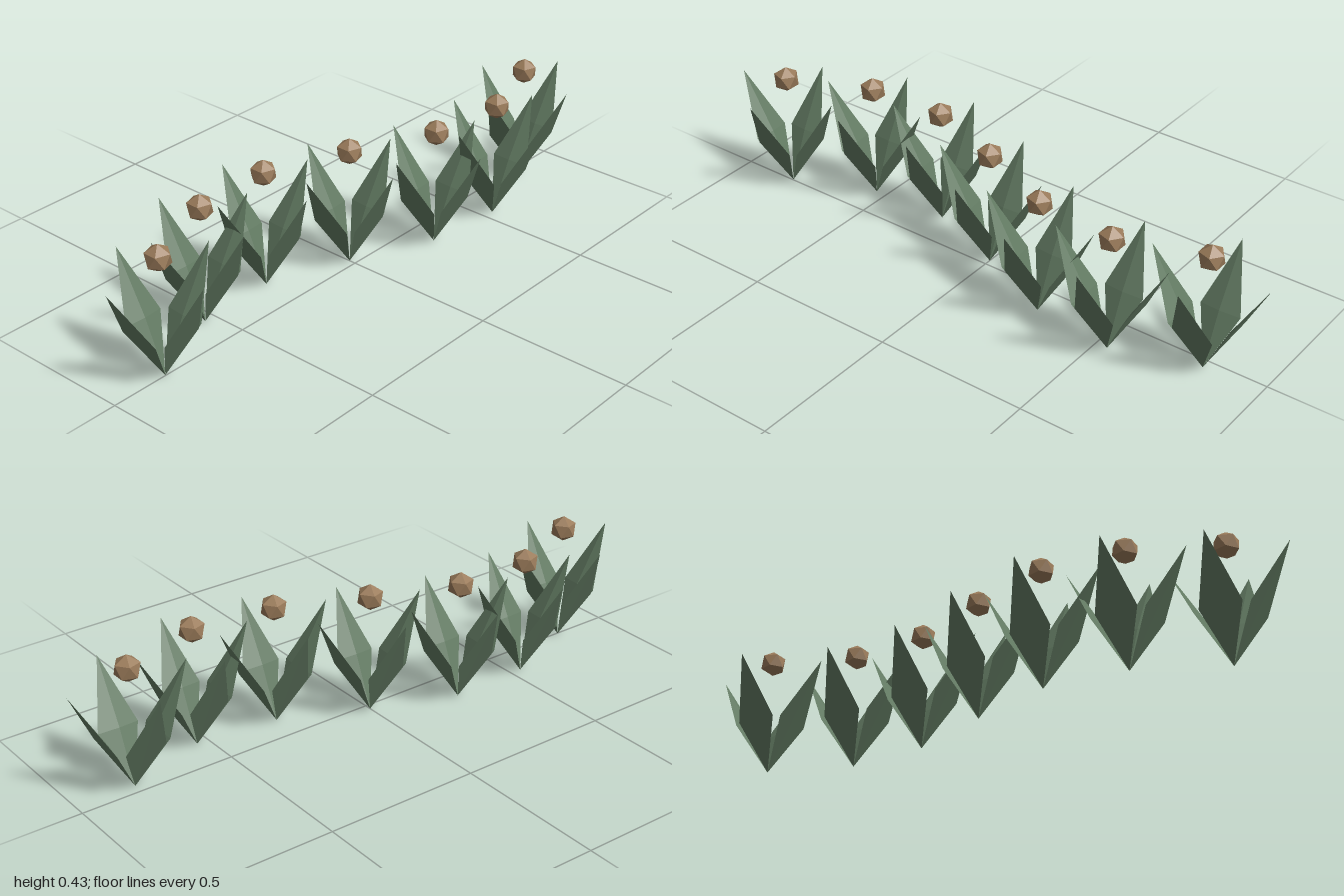
import * as THREE from 'three';

const green = new THREE.MeshStandardMaterial({ color: 0x627a62, flatShading: true, side: THREE.DoubleSide });
green.name = 'leaf green';
const brown = new THREE.MeshStandardMaterial({ color: 0x9a7b5a, flatShading: true });
brown.name = 'seed brown';

// Kite-shaped blade leaning towards +z: flat outside, low ridge inside
function leafGeometry(lean) {
  const height = 0.355, half = 0.066, midY = 0.16, midZ = lean * midY / height;
  const base = [0, 0.002, 0], tip = [0, height, lean];
  const left = [half, midY, midZ], right = [-half, midY, midZ];
  const ridge = [0, midY + 0.004, midZ - 0.009];
  const faces = [
    base, left, tip, base, tip, right, // outer face
    base, ridge, left, left, ridge, tip, // inner faces
    base, right, ridge, right, tip, ridge,
  ];
  const geometry = new THREE.BufferGeometry();
  geometry.setAttribute('position', new THREE.Float32BufferAttribute(faces.flat(), 3));
  geometry.computeVertexNormals();
  return geometry;
}

export function createModel() {
  const model = new THREE.Group();
  model.name = 'plantRow';
  const frontLeaf = leafGeometry(0.172), sideLeaf = leafGeometry(0.192);

  // Icosahedron standing on one corner
  const headGeometry = new THREE.IcosahedronGeometry(0.043, 0);
  headGeometry.rotateZ(-Math.atan(2 / (1 + Math.sqrt(5))));

  // Seven plants along a wavy line
  const depths = [-0.002, -0.115, -0.123, -0.022, 0.097, 0.125, 0.034];
  depths.forEach((z, i) => {
    const plant = new THREE.Group();
    plant.name = 'plant' + (i + 1);
    plant.position.set((i - 3) * 0.2693, 0, z);

    ['frontLeaf', 'leftLeaf', 'backLeaf', 'rightLeaf'].forEach((name, k) => {
      const leaf = new THREE.Mesh(k % 2 ? sideLeaf : frontLeaf, green);
      leaf.name = name;
      leaf.rotation.y = k * Math.PI / 2;
      plant.add(leaf);
    });

    const head = new THREE.Mesh(headGeometry, brown);
    head.name = 'seedHead';
    head.position.y = 0.386;
    plant.add(head);
    model.add(plant);
  });
  return model;
}
